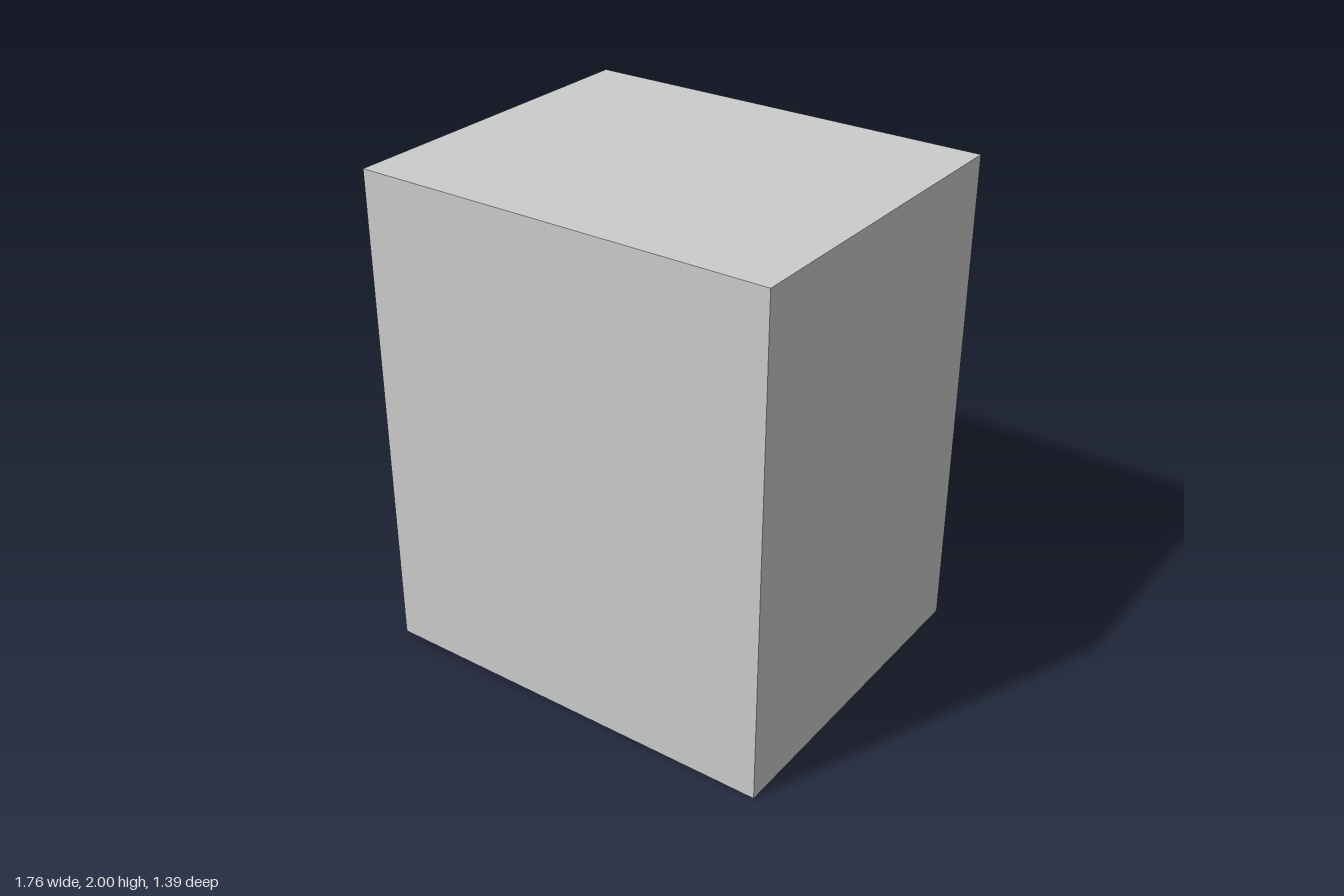
import * as THREE from 'three';

const grey = new THREE.MeshStandardMaterial({ color: 0xcccccc });
const greyOpen = new THREE.MeshStandardMaterial({ color: 0xcccccc, side: THREE.DoubleSide });
const dark = new THREE.MeshStandardMaterial({ color: 0x757575 });
const darkOpen = new THREE.MeshStandardMaterial({ color: 0x757575, side: THREE.DoubleSide });

const W = 1.39, H = 2, D = 1.69, FACE = -0.81; // cabinet size and baffle plane
const WOOFER = { y: 0.73, r: 0.63 }, TWEETER = { y: 1.59, r: 0.25 };

function add(parent, name, geometry, material, x = 0, y = 0, z = 0) {
  const mesh = new THREE.Mesh(geometry, material);
  mesh.name = name;
  mesh.position.set(x, y, z);
  parent.add(mesh);
  return mesh;
}

function circleHole(x, y, r) {
  return new THREE.Path().absarc(x, y, r, 0, Math.PI * 2, true);
}

// Revolved profile of [radius, height] pairs, with its axis along z
function turned(points, segments = 64) {
  const pts = points.map(([r, h]) => new THREE.Vector2(r, h));
  return new THREE.LatheGeometry(pts, segments).rotateX(Math.PI / 2);
}

function smoothProfile(points, count) {
  const curve = new THREE.SplineCurve(points.map(([r, h]) => new THREE.Vector2(r, h)));
  return curve.getPoints(count).map(p => [Math.max(p.x, 0), p.y]);
}

// Two overlapping discs joined by a filleted neck
function flangeShape(fillet) {
  const d = TWEETER.y - WOOFER.y, R = WOOFER.r + fillet, r = TWEETER.r + fillet;
  const a = (R * R - r * r + d * d) / (2 * d), h = Math.sqrt(R * R - a * a);
  const t = Math.atan2(a, h), u = Math.atan2(d - a, h), y = WOOFER.y + a;
  const s = new THREE.Shape();
  s.absarc(0, WOOFER.y, WOOFER.r, t, Math.PI - t, true);
  s.absarc(-h, y, fillet, -t, u, false);
  s.absarc(0, TWEETER.y, TWEETER.r, Math.PI + u, -u, true);
  s.absarc(h, y, fillet, Math.PI - u, Math.PI + t, false);
  s.holes.push(circleHole(0, WOOFER.y, 0.5));
  return s;
}

export function createModel() {
  const model = new THREE.Group();
  model.name = 'loudspeaker';

  // Cabinet: a box without its -x side, which the pierced baffle closes
  const box = new THREE.BoxGeometry(D, H, W);
  const index = Array.from(box.index.array);
  index.splice(6, 6);
  box.setIndex(index);
  box.clearGroups();
  add(model, 'cabinet', box, grey, FACE + D / 2, H / 2, 0);

  // Everything on the baffle is built facing +z, then turned to face -x
  const front = new THREE.Group();
  front.name = 'baffleAssembly';
  front.position.x = FACE;
  front.rotation.y = -Math.PI / 2;
  model.add(front);

  const panel = new THREE.Shape();
  panel.moveTo(-W / 2, 0).lineTo(W / 2, 0).lineTo(W / 2, H).lineTo(-W / 2, H).closePath();
  panel.holes.push(circleHole(0, WOOFER.y, 0.5));
  add(front, 'baffle', new THREE.ShapeGeometry(panel, 32), grey);

  // Shared mounting flange
  add(front, 'driverFlange', new THREE.ExtrudeGeometry(flangeShape(0.04),
    { depth: 0.015, bevelEnabled: false, curveSegments: 32 }), dark);

  // Woofer, tilted slightly
  const woofer = new THREE.Group();
  woofer.name = 'woofer';
  woofer.position.y = WOOFER.y;
  woofer.rotation.y = 0.024;
  front.add(woofer);
  add(woofer, 'surroundWall', turned([[0.543, 0], [0.526, 0.053]]), greyOpen);
  add(woofer, 'surroundRoll', turned(smoothProfile(
    [[0.526, 0.053], [0.51, 0.057], [0.485, 0.047], [0.46, 0.015]], 10)), greyOpen);
  add(woofer, 'cone', turned(smoothProfile(
    [[0.46, 0.015], [0.42, -0.07], [0.34, -0.16], [0.23, -0.225], [0.13, -0.25]], 20)), greyOpen);
  add(woofer, 'dustCap', turned(smoothProfile(
    [[0.13, -0.25], [0.07, -0.232], [0, -0.225]], 8), 32), darkOpen);

  // Tweeter dome
  add(front, 'tweeterDome', turned(smoothProfile(
    [[0.11, 0.013], [0.085, 0.026], [0.045, 0.036], [0, 0.04]], 10), 32), greyOpen, 0, TWEETER.y, 0);

  // Corner grille sockets with hexagonal openings
  const ring = new THREE.Shape().absarc(0, 0, 0.052, 0, Math.PI * 2, false);
  const hex = [0, 1, 2, 3, 4, 5].map(i => new THREE.Vector2(
    0.026 * Math.cos(i * Math.PI / 3), -0.026 * Math.sin(i * Math.PI / 3)));
  ring.holes.push(new THREE.Path(hex));
  const socket = new THREE.ExtrudeGeometry(ring, { depth: 0.015, bevelEnabled: false, curveSegments: 12 });
  for (const x of [-0.53, 0.53])
    for (const y of [0.11, 1.85]) add(front, 'grilleSocket', socket, dark, x, y, 0);

  // Centre the overall depth
  model.position.set(0, 0, 0);
  return model;
}
